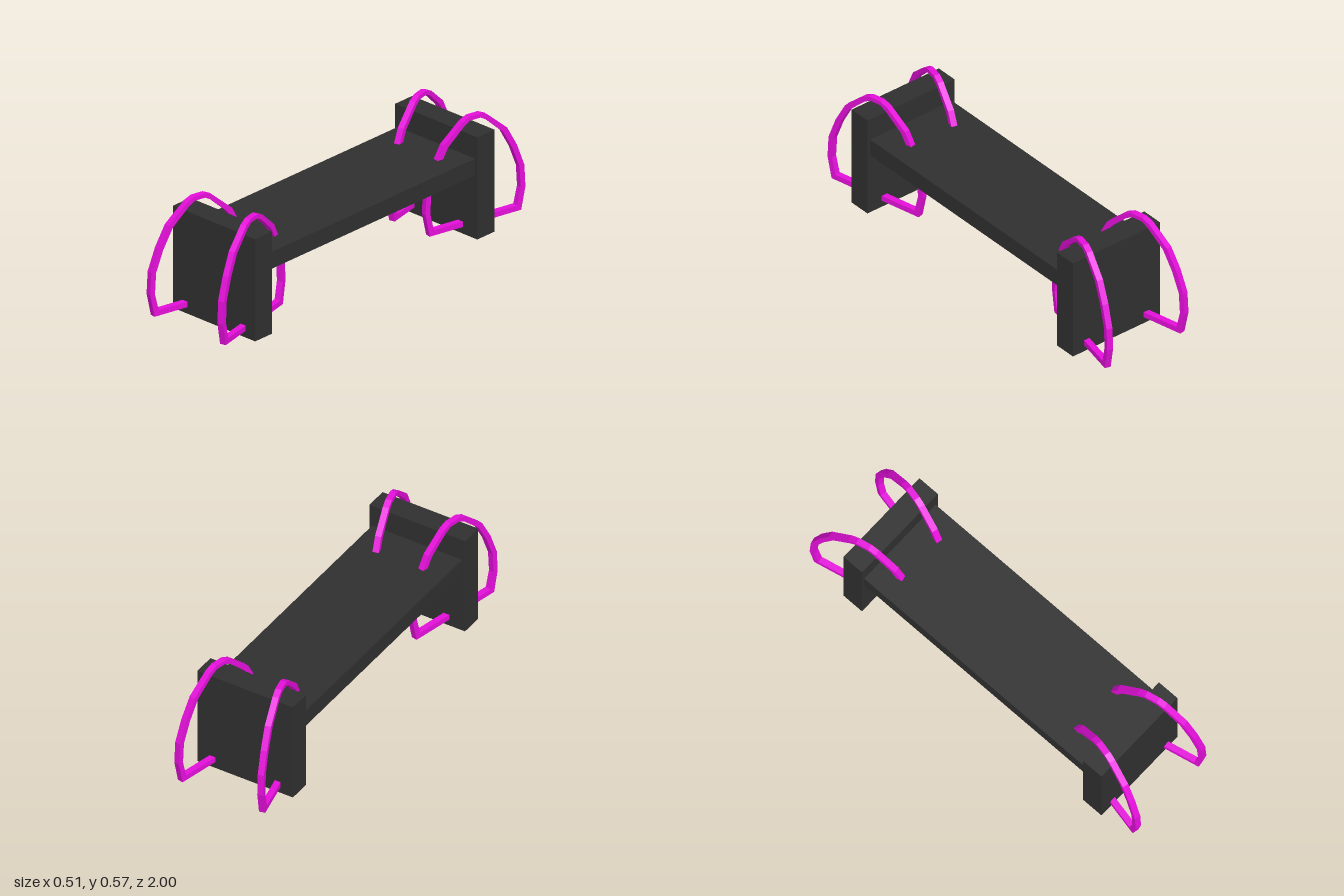
import * as THREE from 'three';

export function createModel() {
  const model = new THREE.Group();
  const charcoal = new THREE.MeshStandardMaterial({ name: 'charcoal', color: 0x303030, side: THREE.DoubleSide });
  const magenta = new THREE.MeshStandardMaterial({ name: 'magenta', color: 0xe60fdc, flatShading: true });

  const add = (name, geometry, material, x, y, z) => {
    const mesh = new THREE.Mesh(geometry, material);
    mesh.name = name;
    mesh.position.set(x, y, z);
    model.add(mesh);
    return mesh;
  };

  // Deck spanning the two end blocks
  add('deck', new THREE.BoxGeometry(0.48, 0.085, 1.36), charcoal, 0, 0.358, 0.015);

  // End blocks, hollow underneath (the bottom face is left out)
  const blockGeometry = new THREE.BoxGeometry(0.51, 0.512, 0.112);
  const faces = Array.from(blockGeometry.index.array);
  faces.splice(18, 6);
  blockGeometry.setIndex(faces);
  blockGeometry.clearGroups();
  add('frontBlock', blockGeometry, charcoal, 0, 0.256, 0.745);
  add('backBlock', blockGeometry, charcoal, 0, 0.256, -0.715);

  // Arched loop: half profiles mirrored into closed outlines
  const outline = (half) => [...half, ...half.map(([u, y]) => [-u, y]).reverse()]
    .map(([u, y]) => new THREE.Vector2(u, y));
  const loopShape = new THREE.Shape(outline([
    [0.25, 0.033], [0.273, 0.145], [0.267, 0.255], [0.227, 0.365],
    [0.173, 0.466], [0.07, 0.557], [0.032, 0.575],
  ]));
  loopShape.holes.push(new THREE.Path(outline([
    [0.227, 0.06], [0.247, 0.145], [0.241, 0.25], [0.202, 0.355],
    [0.15, 0.452], [0.06, 0.536], [0.028, 0.555],
  ])));
  const width = 0.03;
  const loopGeometry = new THREE.ExtrudeGeometry(loopShape, { depth: width, bevelEnabled: false });
  loopGeometry.translate(0, 0, -width / 2);

  // Four loops, splayed outwards towards the ends
  const splay = 0.215;
  for (const [end, sz] of [['front', 1], ['back', -1]]) {
    for (const [side, sx] of [['Left', 1], ['Right', -1]]) {
      const loop = add(`${end}${side}Loop`, loopGeometry, magenta, sx * 0.165, 0, sz * 0.73);
      loop.rotation.y = -Math.atan2(sz * Math.cos(splay), sx * Math.sin(splay));
    }
  }
  return model;
}
